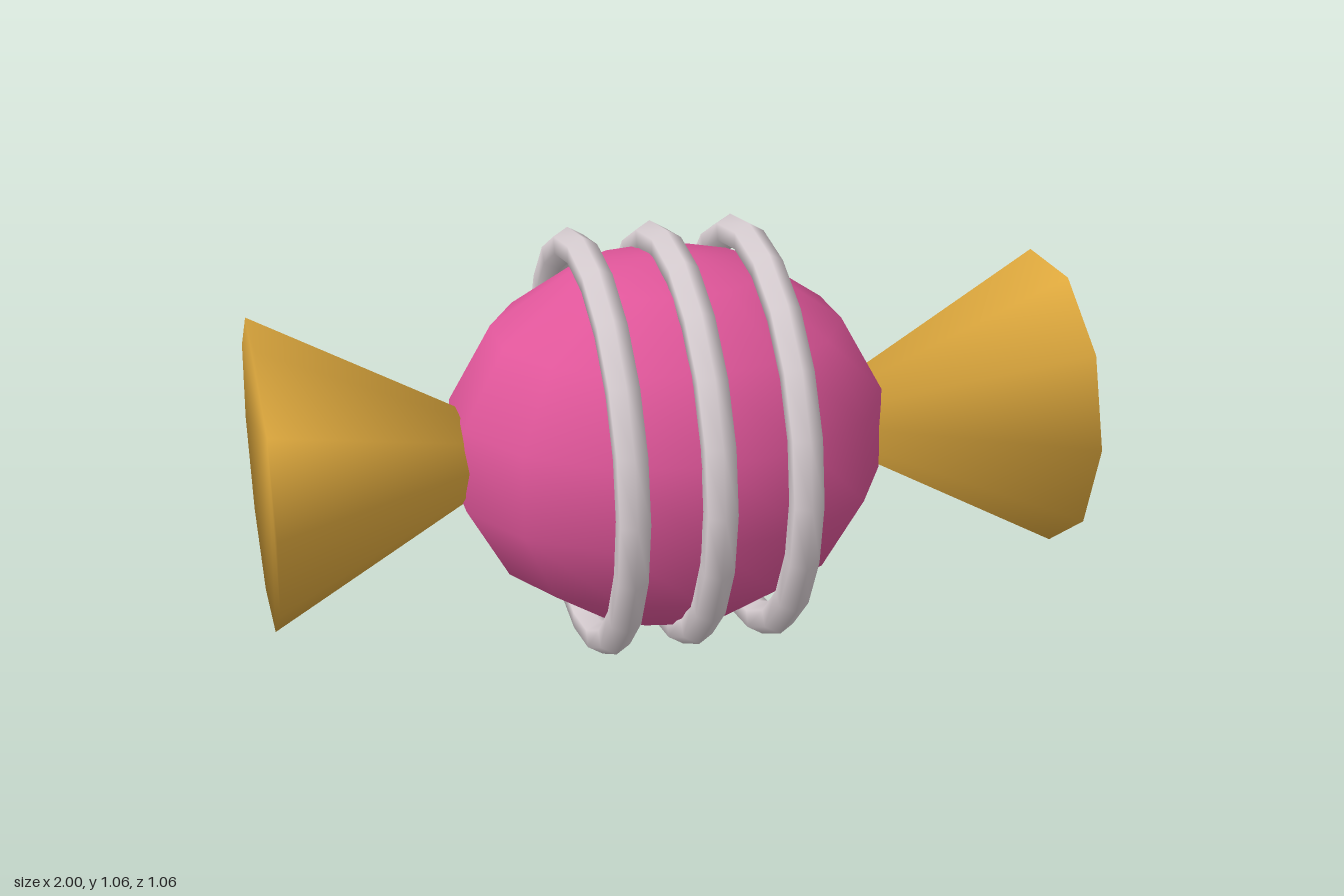
import * as THREE from 'three';

const material = (name, color) => {
  const m = new THREE.MeshStandardMaterial({ color });
  m.name = name;
  return m;
};

// Ten-sided cone along +x, sharing vertices so the shading rolls over the rim
function flaredEnd(tipX, endX, radius, sides) {
  const points = [];
  const faces = [];
  for (let i = 0; i < sides; i++) {
    const a = Math.PI * 0.8 + (i / sides) * Math.PI * 2;
    points.push(endX, radius * Math.sin(a), radius * Math.cos(a));
    faces.push(sides, i, (i + 1) % sides);
    if (i > 0 && i < sides - 1) faces.push(0, i + 1, i);
  }
  points.push(tipX, 0, 0);
  const g = new THREE.BufferGeometry();
  g.setAttribute('position', new THREE.Float32BufferAttribute(points, 3));
  g.setIndex(faces);
  g.computeVertexNormals();
  return g;
}

export function createModel() {
  const model = new THREE.Group();
  model.name = 'wrappedCandy';
  const pink = material('pink', 0xe0569a);
  const gold = material('gold', 0xe0aa3e);
  const silver = material('silver', 0xd9cfd3);
  const centreY = 0.53;

  const add = (name, geometry, mat, x = 0) => {
    const mesh = new THREE.Mesh(geometry, mat);
    mesh.name = name;
    mesh.position.set(x, centreY, 0);
    model.add(mesh);
    return mesh;
  };

  // Round sweet, slightly stretched sideways
  const ball = new THREE.SphereGeometry(0.475, 14, 7);
  ball.rotateY(Math.PI / 2);
  ball.scale(1.162, 1, 1);
  add('candyBody', ball, pink);

  // Three bands around the middle
  const band = new THREE.TorusGeometry(0.488, 0.042, 6, 20);
  band.rotateY(Math.PI / 2);
  ['rightBand', 'middleBand', 'leftBand'].forEach((name, i) => add(name, band, silver, (i - 1) * 0.207));

  // Twisted wrapper ends
  const end = flaredEnd(0.3, 1, 0.378, 10);
  add('leftWrapperEnd', end, gold);
  add('rightWrapperEnd', end, gold).rotation.y = Math.PI;

  return model;
}
